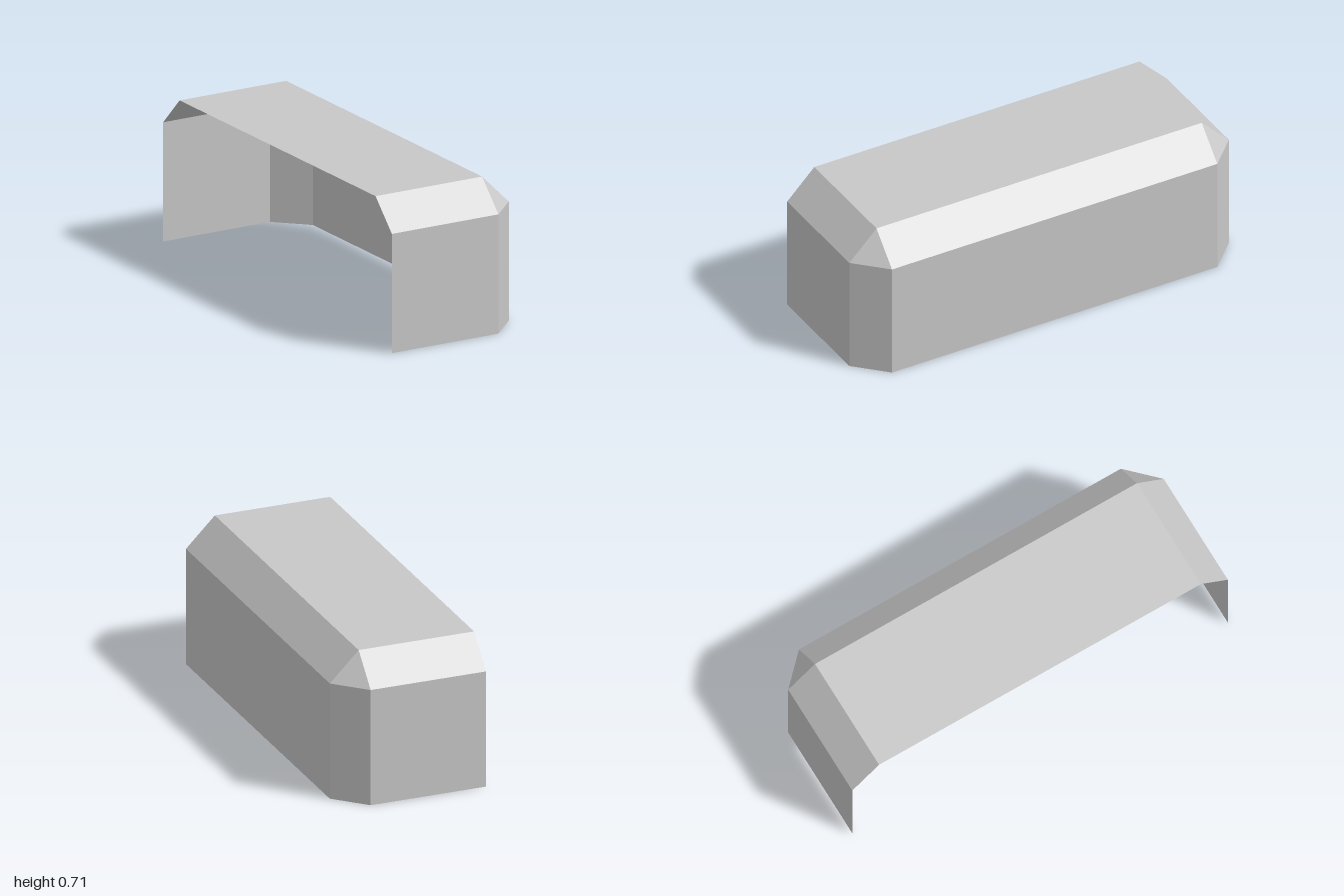
import * as THREE from 'three';

const U = 1 / 7; // chamfer size
const X = 2.5 * U, H = 5 * U, Z = 1, XI = X - U, ZI = Z - U, SHOULDER = H - U;

// Builds a flat-shaded strip between two matching open cross-sections.
function strip(lower, upper) {
  const pos = [];
  const tri = (a, b, c) => {
    if (a.equals(b) || b.equals(c) || a.equals(c)) return;
    for (const p of [a, b, c]) pos.push(p.x, p.y, p.z);
  };
  for (let i = 0; i < lower.length - 1; i++) {
    tri(lower[i], lower[i + 1], upper[i + 1]);
    tri(lower[i], upper[i + 1], upper[i]);
  }
  const geo = new THREE.BufferGeometry();
  geo.setAttribute('position', new THREE.Float32BufferAttribute(pos, 3));
  geo.computeVertexNormals();
  return geo;
}

export function createModel() {
  const group = new THREE.Group();
  group.name = 'chamferedShell';
  const grey = new THREE.MeshStandardMaterial({ color: 0xc8c8c8 });
  grey.name = 'lightGrey';
  grey.side = THREE.DoubleSide;
  grey.flatShading = true;

  const section = (outline, y) => outline.map(([x, z]) => new THREE.Vector3(x, y, z));
  const add = (name, geo) => {
    const mesh = new THREE.Mesh(geo, grey);
    mesh.name = name;
    group.add(mesh);
  };

  // Outline from front edge round to back edge; open along -x.
  const outer = [[-X, Z], [XI, Z], [X, ZI], [X, -ZI], [XI, -Z], [-X, -Z]];
  // Inset roof outline; each corner collapses to a point.
  const inner = [[-X, ZI], [XI, ZI], [XI, ZI], [XI, -ZI], [XI, -ZI], [-X, -ZI]];

  // Upright walls with chamfered corners
  add('walls', strip(section(outer, 0), section(outer, SHOULDER)));
  // Sloped bevel with triangular corners
  add('roofBevel', strip(section(outer, SHOULDER), section(inner, H)));
  // Flat roof
  add('roof', strip(section([[-X, ZI], [XI, ZI]], H), section([[-X, -ZI], [XI, -ZI]], H)));

  return group;
}
